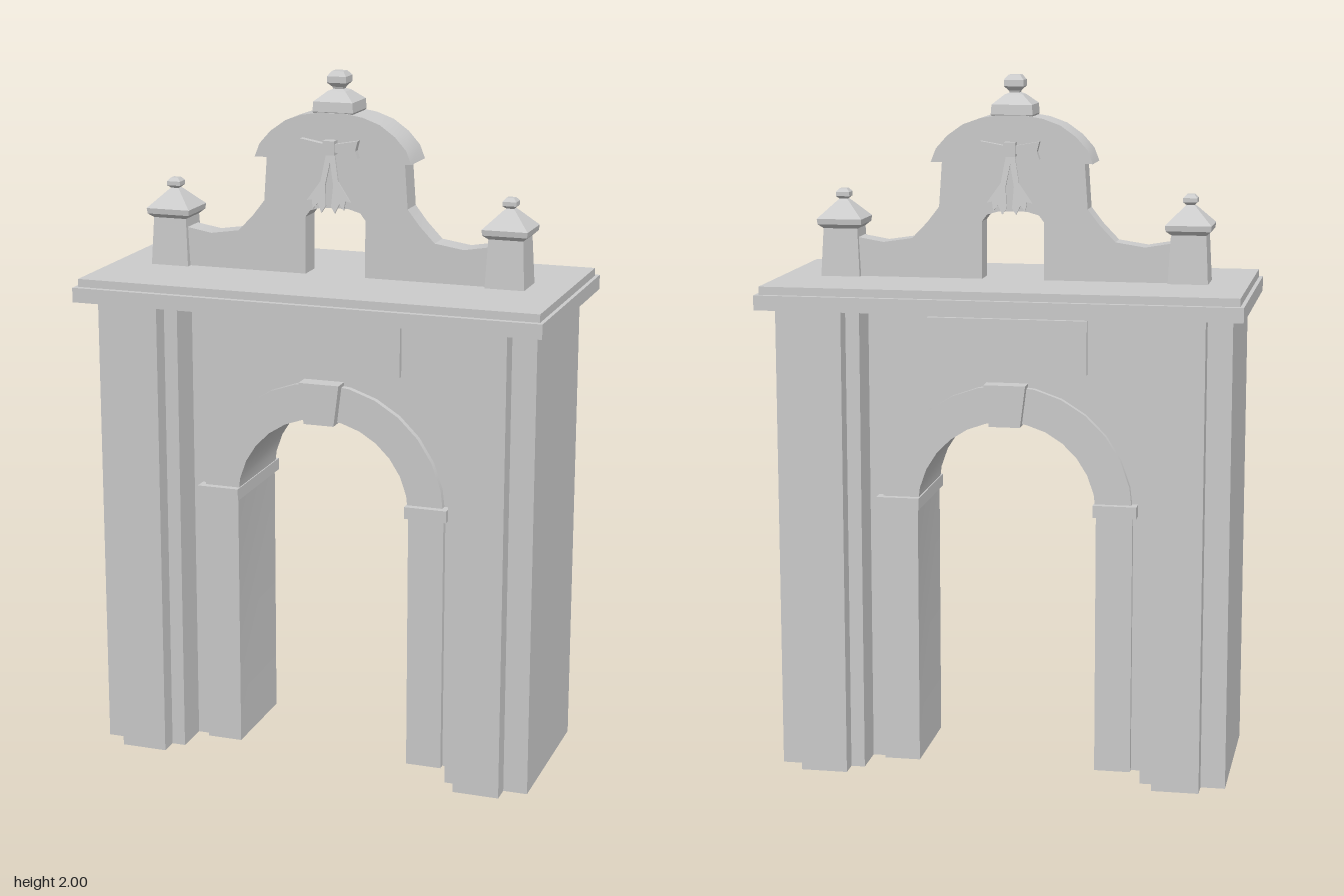
import * as THREE from 'three';
import { toCreasedNormals } from 'three/addons/utils/BufferGeometryUtils.js';

const stone = new THREE.MeshStandardMaterial({ color: 0xcccccc, side: THREE.DoubleSide });

function add(parent, name, geometry) {
  const mesh = new THREE.Mesh(geometry, stone);
  mesh.name = name;
  parent.add(mesh);
  return mesh;
}

function box(parent, name, w, y0, y1, d, x = 0, z = 0) {
  const mesh = add(parent, name, new THREE.BoxGeometry(w, y1 - y0, d));
  mesh.position.set(x, (y0 + y1) / 2, z);
  return mesh;
}

const toShape = (pts) => new THREE.Shape(pts.map(([x, y]) => new THREE.Vector2(x, y)));
const mirrorX = (pts) => [...pts, ...pts.map(([x, y]) => [-x, y]).reverse()];

// Extrude an outline, centred on z
function slab(pts, depth) {
  const g = new THREE.ExtrudeGeometry(toShape(pts), { depth, bevelEnabled: false });
  return g.translate(0, 0, -depth / 2);
}

// Drop the faces lying on the ground, as the piers are hollow underneath
function openBottom(geometry) {
  const src = geometry.index ? geometry.toNonIndexed() : geometry;
  const p = src.attributes.position;
  const kept = [];
  for (let i = 0; i < p.count; i += 3) {
    if ([0, 1, 2].every((k) => Math.abs(p.getY(i + k)) < 1e-5)) continue;
    for (let k = 0; k < 3; k++) kept.push(p.getX(i + k), p.getY(i + k), p.getZ(i + k));
  }
  const g = new THREE.BufferGeometry();
  g.setAttribute('position', new THREE.Float32BufferAttribute(kept, 3));
  g.computeVertexNormals();
  return toCreasedNormals(g, 0.35);
}

// Right leg, half circle, left leg
function archLine(r, cy, segments) {
  const pts = [[r, 0]];
  for (let i = 0; i <= segments; i++) {
    const a = (Math.PI * i) / segments;
    pts.push([r * Math.cos(a), cy + r * Math.sin(a)]);
  }
  pts.push([-r, 0]);
  return pts;
}

// Four-sided turned ornament; the profile gives half widths
function squareTurned(parent, name, profile, x) {
  const pts = profile.map(([w, y]) => new THREE.Vector2(w * Math.SQRT2, y));
  const g = new THREE.LatheGeometry(pts, 4, Math.PI / 4).toNonIndexed();
  g.computeVertexNormals();
  add(parent, name, g).position.x = x;
}

function buildGate() {
  const gate = new THREE.Group();
  gate.name = 'gate';
  const springing = 0.765;

  // Wall behind the arch surround
  const wall = [...archLine(0.36, springing, 14), [-0.41, 0], [-0.41, 1.36], [0.41, 1.36], [0.41, 0]];
  add(gate, 'archWall', openBottom(slab(wall, 0.26)));

  // Arch surround with its legs
  const band = [...archLine(0.26, springing, 14), ...archLine(0.365, springing, 14).reverse()];
  add(gate, 'archSurround', openBottom(slab(band, 0.3)));

  // Stepped side piers, drawn in plan
  const half = [[0.405, 0.24], [0.445, 0.24], [0.445, 0.295], [0.58, 0.295], [0.58, 0.24], [0.65, 0.24]];
  const plan = [...half, ...half.map(([x, z]) => [x, -z]).reverse()];
  for (const s of [1, -1]) {
    const g = new THREE.ExtrudeGeometry(toShape(plan), { depth: 1.36, bevelEnabled: false });
    g.rotateX(-Math.PI / 2);
    if (s < 0) g.rotateY(Math.PI);
    add(gate, s > 0 ? 'leftPier' : 'rightPier', openBottom(g));
    box(gate, s > 0 ? 'leftImpost' : 'rightImpost', 0.125, 0.76, 0.795, 0.34, s * 0.316);
  }

  // Keystones and panels on both faces
  const key = [[0.045, 1.015], [0.06, 1.135], [-0.06, 1.135], [-0.045, 1.015]];
  for (const s of [1, -1]) {
    add(gate, 'keystone', slab(key, 0.06)).position.z = s * 0.15;
    box(gate, 'panel', 0.46, 1.165, 1.32, 0.03, 0, s * 0.13);
  }

  // Cornice in two steps
  box(gate, 'corniceLower', 1.372, 1.355, 1.397, 0.664);
  box(gate, 'corniceUpper', 1.35, 1.397, 1.42, 0.63);
  return gate;
}

// Ribbon bow with two notched tails that swing away from the gable
function buildBow() {
  const bow = new THREE.Group();
  bow.name = 'bow';
  const loop = [[0.012, 1.785], [0.085, 1.768], [0.078, 1.79], [0.085, 1.818], [0.012, 1.805]];
  const tail = [[-0.004, 1.775], [0.012, 1.78], [0.026, 1.7], [0.065, 1.645], [0.05, 1.648],
    [0.046, 1.622], [0.032, 1.638], [0.02, 1.612], [0.008, 1.63], [0.012, 1.69]];
  for (const s of [1, -1]) {
    const flip = (pts) => pts.map(([x, y]) => [s * x, y]);
    add(bow, 'bowLoop', slab(flip(loop), 0.022)).position.z = 0.082;
    const g = slab(flip(tail), 0.006);
    const p = g.attributes.position;
    for (let i = 0; i < p.count; i++) {
      p.setZ(i, p.getZ(i) + 0.076 + (1.78 - p.getY(i)) * 0.12);
    }
    g.computeVertexNormals();
    add(bow, 'bowTail', g);
  }
  box(bow, 'bowKnot', 0.034, 1.775, 1.815, 0.03, 0, 0.082);
  box(bow, 'bowFixing', 0.02, 1.785, 1.805, 0.05, 0, 0.055);
  return bow;
}

function buildCrest() {
  const crest = new THREE.Group();
  crest.name = 'crest';
  crest.position.z = -0.003;

  // Curved gable around the small central opening
  const gable = mirrorX([[0.04, 1.615], [0.075, 1.605], [0.09, 1.585], [0.09, 1.42], [0.5, 1.42], [0.5, 1.55],
    [0.45, 1.532], [0.38, 1.52], [0.295, 1.533], [0.25, 1.58], [0.215, 1.625], [0.205, 1.77]]);
  add(crest, 'gable', toCreasedNormals(slab(gable, 0.076), 0.5));

  // Rounded hood over the gable
  const hood = mirrorX([[0.233, 1.755], [0.218, 1.793], [0.185, 1.83], [0.14, 1.862], [0.09, 1.88], [0.04, 1.888]]);
  add(crest, 'hood', toCreasedNormals(slab(hood, 0.128), 0.5));

  // Finials
  squareTurned(crest, 'topFinial', [[0.05, 1.87], [0.06, 1.89], [0.058, 1.918], [0.026, 1.945], [0.014, 1.95],
    [0.016, 1.956], [0.028, 1.968], [0.028, 1.986], [0.017, 2], [0, 2]], 0);
  for (const s of [1, -1]) {
    squareTurned(crest, 'sideFinial', [[0.057, 1.42], [0.05, 1.558], [0.064, 1.57], [0.066, 1.586], [0.018, 1.634],
      [0.011, 1.64], [0.02, 1.648], [0.02, 1.66], [0.011, 1.67], [0, 1.67]], s * 0.504);
  }

  const front = buildBow();
  const back = buildBow();
  back.rotation.y = Math.PI;
  crest.add(front, back);
  return crest;
}

export function createModel() {
  const model = new THREE.Group();
  model.name = 'archGateway';
  model.add(buildGate(), buildCrest());
  return model;
}
